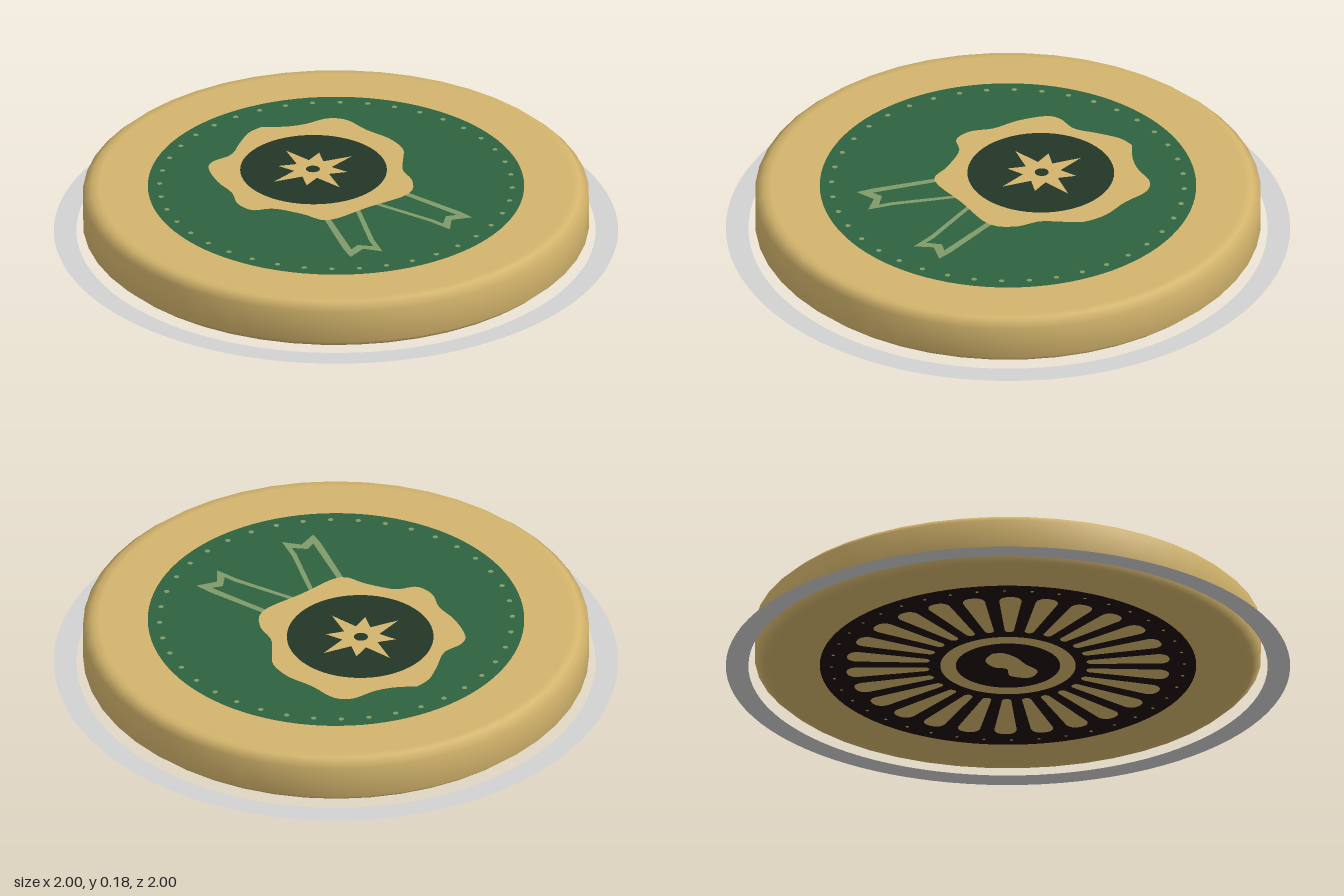
import * as THREE from 'three';

const mat = (name, color, side = THREE.FrontSide) => {
  const m = new THREE.MeshStandardMaterial({ color, side });
  m.name = name;
  return m;
};

export function createModel() {
  const gold = mat('gold', 0xd3b46c);
  const green = mat('green enamel', 0x2e6240);
  const darkGreen = mat('dark green enamel', 0x233626);
  const paleGreen = mat('pale green line', 0x809a68);
  const brown = mat('dark brown', 0x1c0d0b);
  const grey = mat('halo grey', 0xd2d2d2, THREE.DoubleSide);

  const model = new THREE.Group();
  model.name = 'medallion';

  const add = (parent, name, geometry, material, z = 0) => {
    const mesh = new THREE.Mesh(geometry, material);
    mesh.name = name;
    mesh.position.z = z;
    parent.add(mesh);
    return mesh;
  };
  const vecs = (pts) => pts.map(([x, y]) => new THREE.Vector2(x, y));
  const blob = (pts) => {
    const curve = new THREE.SplineCurve(vecs([...pts, pts[0]]));
    return new THREE.ShapeGeometry(new THREE.Shape(curve.getPoints(96).slice(0, -1)));
  };
  // Ring of small dots around the rim of a face
  const dots = (parent, name, size, material, z) => {
    const group = new THREE.Group();
    group.name = name;
    for (let i = 0; i < 40; i++) {
      const a = (i / 40) * Math.PI * 2;
      const dot = add(group, 'rimDot', new THREE.CircleGeometry(size, 8), material, z);
      dot.position.x = Math.cos(a) * 0.625;
      dot.position.y = Math.sin(a) * 0.625;
    }
    parent.add(group);
  };

  // Coin body with bevelled rims
  const profile = vecs([
    [0, 0.004], [0.84, 0.004], [0.868, 0.004], [0.897, 0.03],
    [0.897, 0.152], [0.868, 0.178], [0.84, 0.178], [0, 0.178],
  ]);
  add(model, 'coinBody', new THREE.LatheGeometry(profile, 48), gold);

  // Flat halo around the foot of the coin
  const halo = add(model, 'haloRing', new THREE.RingGeometry(0.92, 1, 96), grey);
  halo.rotation.x = -Math.PI / 2;

  // Upper face, drawn in its own x/y plane
  const top = new THREE.Group();
  top.name = 'topFace';
  top.rotation.x = -Math.PI / 2;
  top.position.y = 0.178;
  model.add(top);
  add(top, 'greenField', new THREE.CircleGeometry(0.667, 96), green, 0.001);
  dots(top, 'topDots', 0.01, paleGreen, 0.002);

  // Ribbon tails: outlined strips, mirrored
  for (const s of [1, -1]) {
    const flip = (pts) => vecs(pts.map(([x, y]) => [x * s, y]));
    const ribbon = new THREE.Shape(flip([
      [0.03, -0.19], [0.12, -0.41], [0.145, -0.5], [0.19, -0.445],
      [0.262, -0.47], [0.25, -0.41], [0.18, -0.19],
    ]));
    ribbon.holes.push(new THREE.Path(flip([
      [0.052, -0.2], [0.14, -0.41], [0.15, -0.45], [0.19, -0.41], [0.227, -0.425], [0.16, -0.2],
    ])));
    add(top, s > 0 ? 'leftRibbon' : 'rightRibbon', new THREE.ShapeGeometry(ribbon), paleGreen, 0.002);
  }

  // Wavy rosette with a dark centre
  add(top, 'rosette', blob([
    [0.03, 0.51], [0.10, 0.465], [0.17, 0.44], [0.26, 0.43], [0.31, 0.38], [0.325, 0.28],
    [0.355, 0.18], [0.35, 0.09], [0.31, 0.03], [0.26, -0.04], [0.24, -0.13], [0.17, -0.20],
    [0, -0.20], [-0.17, -0.20], [-0.22, -0.11], [-0.28, -0.02], [-0.35, 0.015], [-0.365, 0.085],
    [-0.335, 0.165], [-0.33, 0.26], [-0.30, 0.36], [-0.255, 0.395], [-0.175, 0.40],
    [-0.10, 0.455], [-0.03, 0.50],
  ]), gold, 0.003);
  const centre = add(top, 'rosetteCentre', new THREE.CircleGeometry(0.26, 64), darkGreen, 0.004);
  centre.position.y = 0.14;

  // Eight-pointed star with a small hole
  const star = new THREE.Shape();
  for (let i = 0; i < 16; i++) {
    const a = (i / 16) * Math.PI * 2;
    const r = i % 2 ? 0.068 : i % 4 ? 0.125 : 0.168;
    star[i ? 'lineTo' : 'moveTo'](Math.cos(a) * r, Math.sin(a) * r);
  }
  star.holes.push(new THREE.Path().absarc(0, 0, 0.025, 0, Math.PI * 2, true));
  add(top, 'star', new THREE.ShapeGeometry(star), gold, 0.005).position.y = 0.144;

  // Lower face, turned to look down
  const bottom = new THREE.Group();
  bottom.name = 'bottomFace';
  bottom.rotation.set(Math.PI / 2, 0, THREE.MathUtils.degToRad(-146));
  bottom.position.y = 0.004;
  model.add(bottom);
  add(bottom, 'brownField', new THREE.CircleGeometry(0.667, 96), brown, 0.0015);
  dots(bottom, 'bottomDots', 0.006, gold, 0.003);

  // Radiating petals, wider at the rim
  const petal = new THREE.Shape();
  petal.moveTo(-0.016, 0.29);
  petal.quadraticCurveTo(0, 0.27, 0.016, 0.29);
  petal.lineTo(0.04, 0.54);
  petal.quadraticCurveTo(0.036, 0.575, 0, 0.575);
  petal.quadraticCurveTo(-0.036, 0.575, -0.04, 0.54);
  const petalGeometry = new THREE.ShapeGeometry(petal);
  for (let i = 0; i < 26; i++) {
    add(bottom, 'petal', petalGeometry, gold, 0.003).rotation.z = (i / 26) * Math.PI * 2;
  }

  // Inner ring and the central bean shape
  add(bottom, 'innerRing', new THREE.RingGeometry(0.185, 0.24, 64), gold, 0.003);
  add(bottom, 'centreBean', blob([
    [0.09, 0.07], [0.03, 0.085], [-0.02, 0.05], [-0.03, 0.0], [-0.085, -0.02],
    [-0.09, -0.09], [-0.03, -0.11], [0.02, -0.06], [0.07, -0.02], [0.1, 0.03],
  ]), gold, 0.003);

  return model;
}
